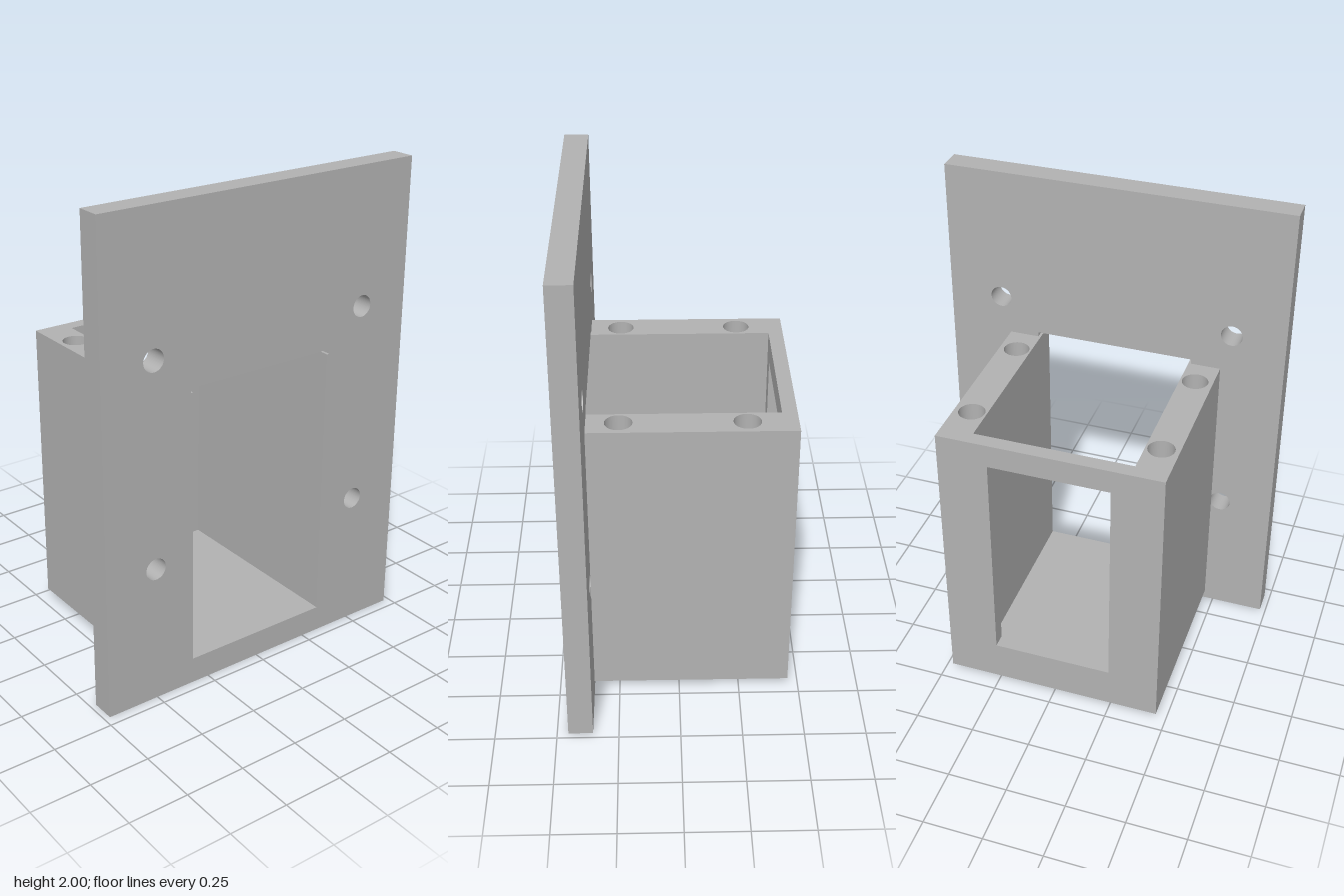
import * as THREE from 'three';

const grey = new THREE.MeshStandardMaterial({ color: 0xb2b2b2 });
grey.name = 'grey';

const polygon = (points, Type = THREE.Shape) =>
  new Type(points.map(([a, b]) => new THREE.Vector2(a, b)));

const rectangle = (a0, a1, b0, b1, Type) =>
  polygon([[a0, b0], [a1, b0], [a1, b1], [a0, b1]], Type);

const circle = (a, b, r) => new THREE.Path().absarc(a, b, r, 0, Math.PI * 2, true);

const extrude = (shape, depth) =>
  new THREE.ExtrudeGeometry(shape, { depth, bevelEnabled: false, curveSegments: 32 });

// Upright panel: shape drawn in (-z, y), thickness along x
const panel = (shape, x0, x1) =>
  extrude(shape, x1 - x0).rotateY(Math.PI / 2).translate(x0, 0, 0);

// Block: shape drawn in (x, -z), height along y
const block = (shape, y0, y1) =>
  extrude(shape, y1 - y0).rotateX(-Math.PI / 2).translate(0, y0, 0);

export function createModel() {
  const group = new THREE.Group();
  group.name = 'mountingBracket';
  const add = (name, geometry) => {
    const mesh = new THREE.Mesh(geometry, grey);
    mesh.name = name;
    group.add(mesh);
  };

  const back = -0.455, wallX = -0.395, plateX = 0.355, face = 0.455;
  const bottom = 0.04, floorTop = 0.11, top = 1.265;
  const inner = 0.326, outer = 0.461;

  // Mounting plate with stepped opening and four screw holes
  const plate = rectangle(-0.725, 0.725, 0, 2);
  plate.holes.push(polygon([
    [-inner, floorTop], [inner, floorTop], [inner, top], [0.337, top],
    [0.337, 1.285], [-0.337, 1.285], [-0.337, top], [-inner, top],
  ], THREE.Path));
  for (const z of [-0.5, 0.5])
    for (const y of [0.58, 1.43]) plate.holes.push(circle(z, y, 0.045));
  add('mountingPlate', panel(plate, plateX, face));

  // End wall of the box with its window
  const end = rectangle(-outer, outer, bottom, top);
  end.holes.push(rectangle(-0.25, 0.25, 0.215, 1.165, THREE.Path));
  add('windowWall', panel(end, back, wallX));

  // Floor of the box
  add('floor', block(rectangle(wallX, plateX, -inner, inner), bottom, floorTop));

  // Side walls with blind screw holes in their top edges
  const holeBottom = 0.96;
  for (const [side, name] of [[-1, 'left'], [1, 'right']]) {
    const low = Math.min(side * inner, side * outer);
    const high = Math.max(side * inner, side * outer);
    add(name + 'WallLower', block(rectangle(wallX, plateX, low, high), bottom, holeBottom));
    const upper = rectangle(wallX, plateX, low, high);
    for (const x of [-0.26, 0.23]) upper.holes.push(circle(x, side * 0.388, 0.054));
    add(name + 'WallUpper', block(upper, holeBottom, top));
  }

  return group;
}
